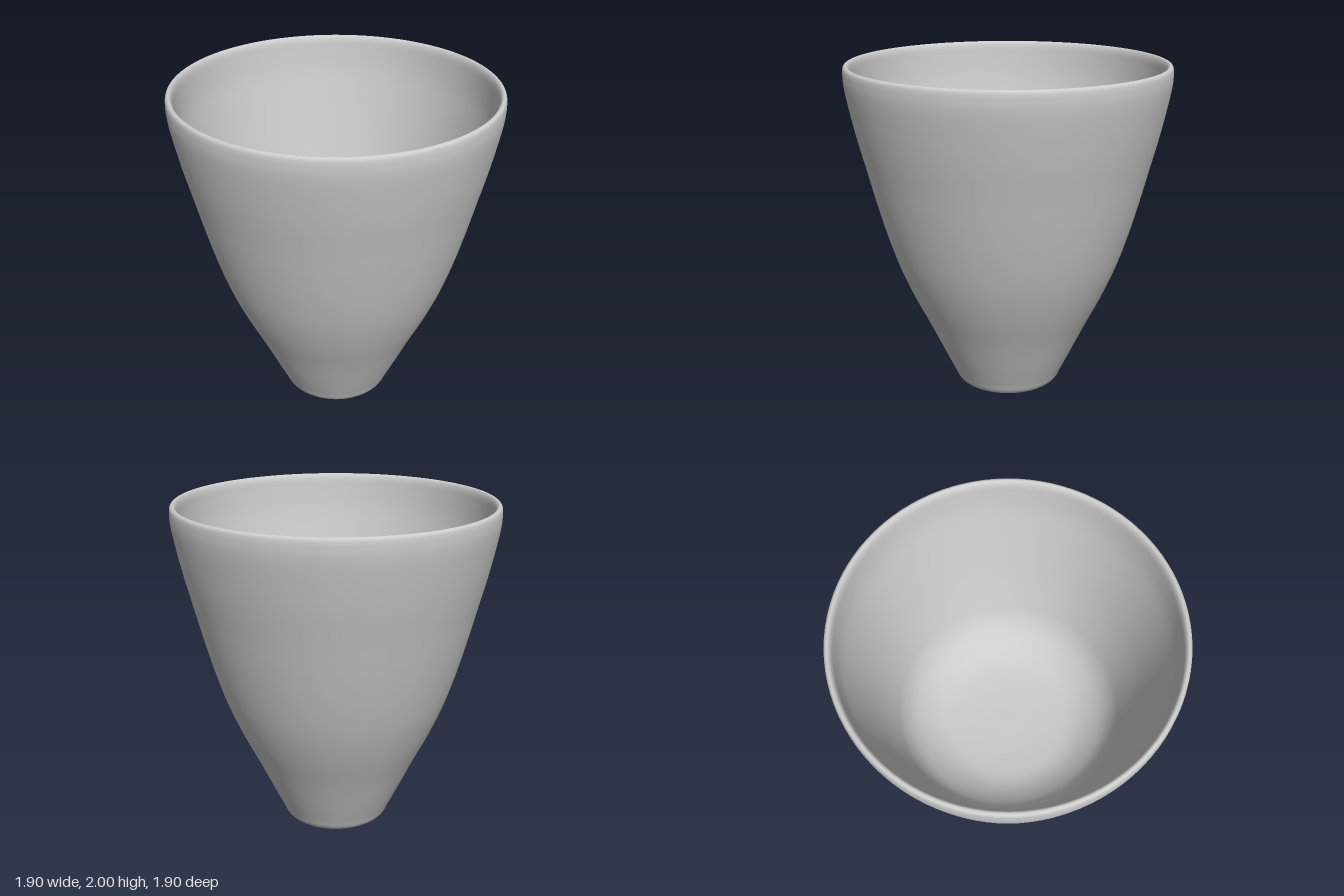
import * as THREE from 'three';

const SEGMENTS = 96;

// Smooth curve through [radius, height] points, kept inside the cup's bounds
function smoothProfile(points, samples) {
  const curve = new THREE.SplineCurve(points.map(([r, y]) => new THREE.Vector2(r, y)));
  return curve.getPoints(samples).map(p => new THREE.Vector2(
    THREE.MathUtils.clamp(p.x, 0, 0.95), THREE.MathUtils.clamp(p.y, 0, 2)));
}

export function createModel() {
  const cup = new THREE.Group();
  cup.name = 'cup';
  const material = new THREE.MeshStandardMaterial({ color: 0xcccccc, side: THREE.DoubleSide });

  // Flat foot with a rounded edge
  const foot = smoothProfile([[0, 0], [0.12, 0], [0.22, 0], [0.285, 0.01], [0.318, 0.035], [0.34, 0.08]], 30);

  // Flared outer wall
  const wall = smoothProfile([
    [0.34, 0.08], [0.397, 0.2], [0.49, 0.4], [0.587, 0.6], [0.67, 0.8], [0.735, 1.0],
    [0.79, 1.2], [0.84, 1.4], [0.89, 1.6], [0.932, 1.8], [0.948, 1.9], [0.95, 1.96],
  ], 60);

  // Rounded lip
  const lip = smoothProfile([
    [0.95, 1.96], [0.946, 1.988], [0.932, 2], [0.918, 1.992], [0.908, 1.965], [0.903, 1.92],
  ], 20);

  // Hollow inside: a wall of even thickness ending in a round bowl
  const inside = smoothProfile([
    [0.903, 1.92], [0.885, 1.78], [0.845, 1.6], [0.797, 1.4], [0.747, 1.2], [0.69, 1.0],
    [0.65, 0.88], [0.59, 0.78], [0.5, 0.7], [0.4, 0.65], [0.28, 0.63], [0.14, 0.62], [0, 0.62],
  ], 60);

  // One continuous profile keeps the shading smooth over the lip
  const profile = [...foot, ...wall.slice(1), ...lip.slice(1), ...inside.slice(1)];
  const body = new THREE.Mesh(new THREE.LatheGeometry(profile, SEGMENTS), material);
  body.name = 'cupBody';
  cup.add(body);

  return cup;
}
